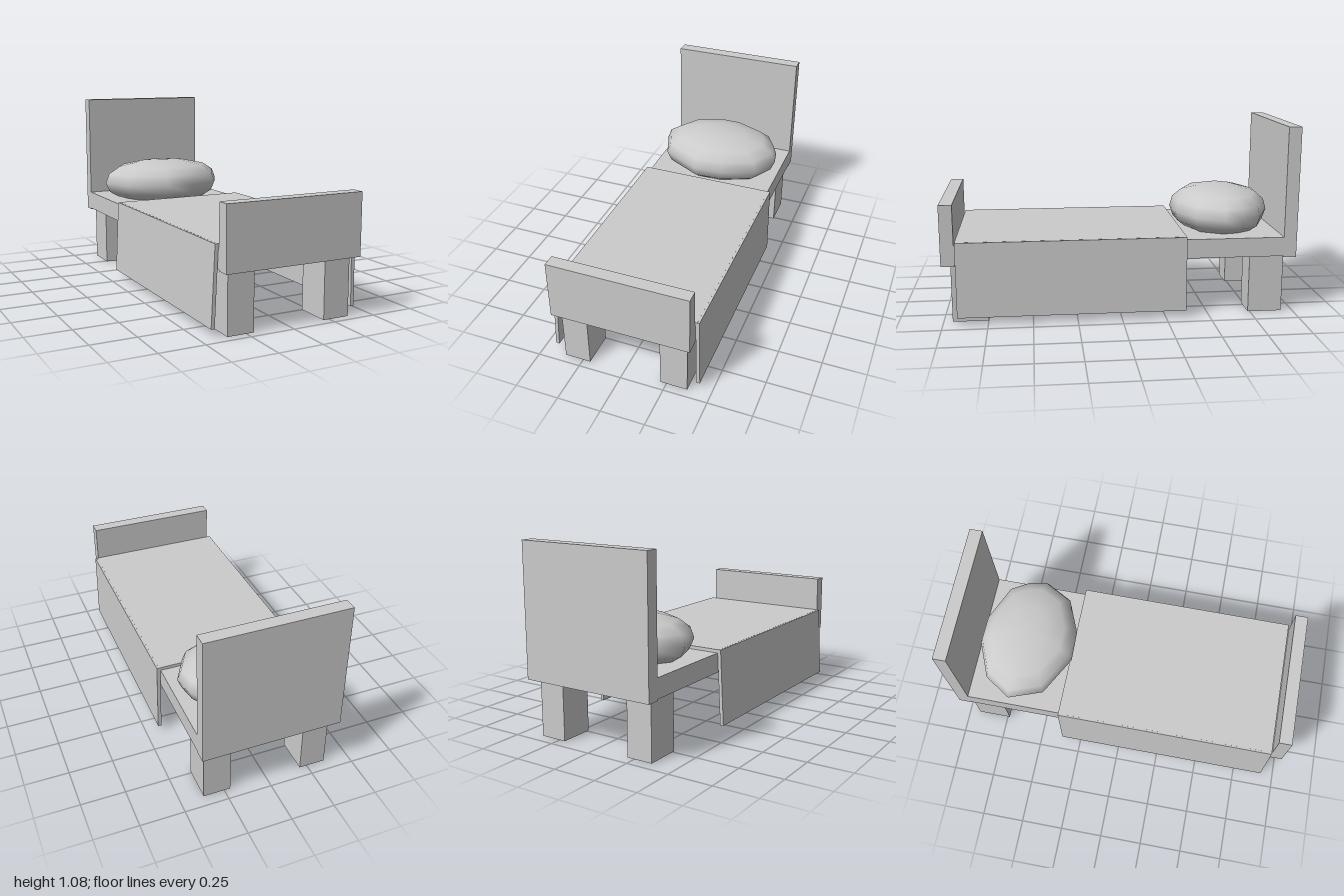
import * as THREE from 'three';
import { mergeVertices } from 'three/addons/utils/BufferGeometryUtils.js';

const grey = new THREE.MeshStandardMaterial({ color: 0xcccccc });

export function createModel() {
  const bed = new THREE.Group();
  bed.name = 'bed';

  function add(name, geometry) {
    const mesh = new THREE.Mesh(geometry, grey);
    mesh.name = name;
    bed.add(mesh);
  }

  // Box given by its limits on each axis
  function box(name, [x0, x1], [y0, y1], [z0, z1]) {
    const g = new THREE.BoxGeometry(x1 - x0, y1 - y0, z1 - z0);
    add(name, g.translate((x0 + x1) / 2, (y0 + y1) / 2, (z0 + z1) / 2));
  }

  // Frame and mattress
  const width = [-0.392, 0.402];
  box('headboard', width, [0.33, 1.075], [-1, -0.926]);
  box('footboard', width, [0.33, 0.674], [0.926, 1]);
  box('mattress', width, [0.338, 0.448], [-0.93, 0.93]);

  // Legs
  for (const [side, x] of [['Right', [-0.357, -0.207]], ['Left', [0.215, 0.37]]]) {
    box('front' + side + 'Leg', x, [0, 0.34], [0.75, 0.95]);
    box('back' + side + 'Leg', x, [0, 0.34], [-0.935, -0.738]);
  }

  // Blanket: a thin top sheet and two hanging sides that lean outwards
  const blanketZ = [-0.365, 0.92];
  box('blanketTop', [-0.4, 0.412], [0.446, 0.467], blanketZ);

  function blanketSide(name, corners) {
    const shape = new THREE.Shape(corners.map(([x, y]) => new THREE.Vector2(x, y)));
    const g = new THREE.ExtrudeGeometry(shape, { depth: blanketZ[1] - blanketZ[0], bevelEnabled: false });
    add(name, g.translate(0, 0, blanketZ[0]));
  }
  blanketSide('blanketRightSide', [[-0.432, 0.04], [-0.412, 0.039], [-0.392, 0.466], [-0.411, 0.467]]);
  blanketSide('blanketLeftSide', [[0.41, 0.039], [0.43, 0.04], [0.424, 0.467], [0.403, 0.466]]);

  // Pillow: a lathed cushion whose rings follow an uneven oval outline
  const outline = [
    [0.1, -0.35], [0.3, -0.435], [0.385, -0.59], [0.365, -0.7], [0.3, -0.81], [0.08, -0.905],
    [-0.07, -0.908], [-0.28, -0.82], [-0.38, -0.665], [-0.31, -0.47], [-0.08, -0.345],
  ];
  const profile = [
    [0, 0.43], [0.72, 0.438], [0.93, 0.485], [1, 0.545], [0.94, 0.605],
    [0.76, 0.65], [0.42, 0.677], [0, 0.686],
  ].map(([r, y]) => new THREE.Vector2(r, y));
  let pillow = new THREE.LatheGeometry(profile, outline.length);
  const pos = pillow.attributes.position;
  for (let i = 0; i < pos.count; i++) {
    const [x, z] = outline[Math.floor(i / profile.length) % outline.length];
    const r = profile[i % profile.length].x;
    pos.setX(i, 0.01 + (x - 0.01) * r);
    pos.setZ(i, -0.625 + (z + 0.625) * r);
  }
  pillow.deleteAttribute('normal');
  pillow.deleteAttribute('uv');
  pillow = mergeVertices(pillow);
  pillow.computeVertexNormals();
  add('pillow', pillow);

  return bed;
}
